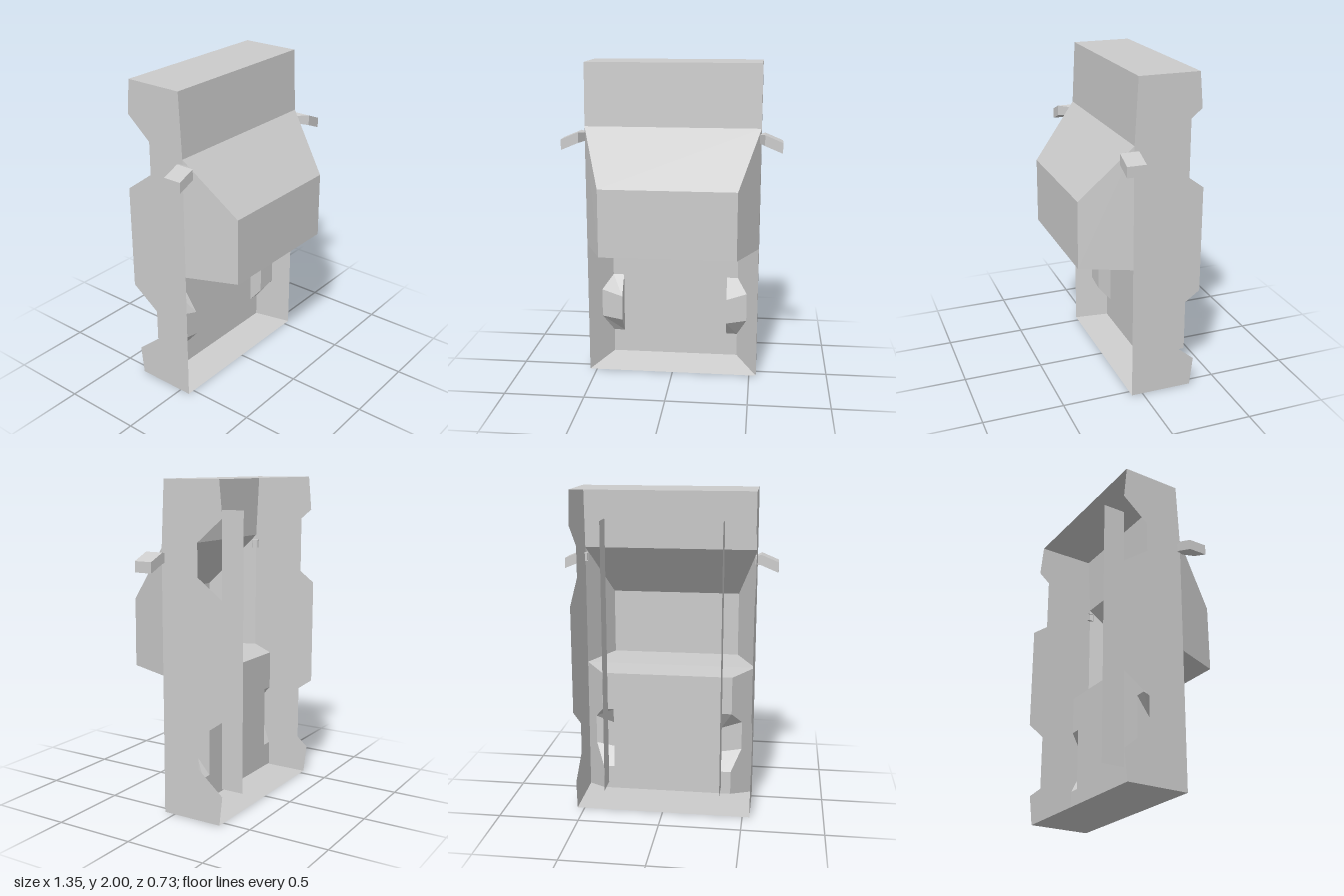
import * as THREE from 'three';

const material = new THREE.MeshStandardMaterial({ color: 0xcccccc, flatShading: true, side: THREE.DoubleSide });

// Triangulates flat outlines (lists of [x, y, z]) into one named mesh
function panels(name, outlines) {
  const pos = [];
  for (const outline of outlines) {
    const p = outline.map((c) => new THREE.Vector3(...c));
    const n = new THREE.Vector3();
    p.forEach((v, i) => n.add(v.clone().cross(p[(i + 1) % p.length])));
    const a = n.toArray().map(Math.abs);
    const drop = a.indexOf(Math.max(...a));
    const [u, w] = [[1, 2], [2, 0], [0, 1]][drop];
    const flat = p.map((v) => new THREE.Vector2(v.getComponent(u), v.getComponent(w)));
    for (const t of THREE.ShapeUtils.triangulateShape(flat, [])) {
      const [A, B, C] = t.map((i) => p[i]);
      const tn = B.clone().sub(A).cross(C.clone().sub(A));
      const tri = tn.dot(n) < 0 ? [A, C, B] : [A, B, C];
      tri.forEach((v) => pos.push(v.x, v.y, v.z));
    }
  }
  const geo = new THREE.BufferGeometry();
  geo.setAttribute('position', new THREE.Float32BufferAttribute(pos, 3));
  geo.computeVertexNormals();
  const mesh = new THREE.Mesh(geo, material);
  mesh.name = name;
  return mesh;
}

// Quads joining two matching loops
const bridge = (a, b, closed = true) =>
  a.slice(0, closed ? a.length : -1).map((p, i) => {
    const j = (i + 1) % a.length;
    return [p, a[j], b[j], b[i]];
  });

// Panel spanning the width between two [halfWidth, y, z] edges, far edge first
const across = ([w1, y1, z1], [w2, y2, z2]) =>
  [[-w1, y1, z1], [w1, y1, z1], [w2, y2, z2], [-w2, y2, z2]];

export function createModel() {
  const model = new THREE.Group();
  const W = 0.545, RIM = 0.07, FLOOR = -0.12, BED = 0.412;

  // Centre panels
  model.add(panels('nosePanel', [across([W, 2, -0.32], [W, 2, 0.05])]));
  model.add(panels('hood', [across([W, 2, 0.05], [W, 1.61, RIM])]));
  model.add(panels('windshield', [across([W, 1.61, RIM], [0.418, 1.275, 0.365])]));
  model.add(panels('roof', [across([0.418, 1.275, 0.365], [0.418, 0.857, 0.368])]));
  model.add(panels('cabRear', [
    across([0.418, 0.857, 0.368], [W, 0.855, RIM]),
    across([W, 0.855, RIM], [BED, 0.84, FLOOR]),
  ]));
  model.add(panels('tailgate', [
    across([BED, 0.06, FLOOR], [W, 0, RIM]),
    across([W, 0, RIM], [W, 0, -0.32]),
  ]));

  // Bed floor, notched where the wheel wells rise
  const half = [[BED, 0.06], [BED, 0.21], [0.342, 0.21], [0.342, 0.6], [BED, 0.6], [BED, 0.84]];
  model.add(panels('bedFloor', [[
    ...half.map(([x, y]) => [x, y, FLOOR]),
    ...half.slice().reverse().map(([x, y]) => [-x, y, FLOOR]),
  ]]));

  // Lower side outline with two wheel arches, as [y, z]
  const sideOutline = [
    [0, RIM], [0, -0.32], [0.18, -0.34], [0.32, -0.175], [0.515, -0.175], [0.65, -0.365],
    [1.315, -0.365], [1.455, -0.175], [1.65, -0.175], [1.79, -0.34], [2, -0.32], [2, 0.05], [1.61, RIM],
  ];

  for (const [side, s] of [['left', 1], ['right', -1]]) {
    const add = (name, outlines) =>
      model.add(panels(side + name, outlines.map((o) => o.map(([x, y, z]) => [s * x, y, z]))));

    add('BodySide', [sideOutline.map(([y, z]) => [W, y, z])]);
    add('CabSide', [[[W, 1.61, RIM], [0.418, 1.275, 0.365], [0.418, 0.857, 0.368], [W, 0.855, RIM]]]);

    // Sloping bed wall, cut around the wheel well
    const wallZ = (x) => FLOOR + ((x - BED) / (W - BED)) * (RIM - FLOOR);
    add('BedWall', [
      [[W, 0], [W, 0.855], [BED, 0.84], [BED, 0.6], [0.474, 0.52], [0.474, 0.337], [BED, 0.21], [BED, 0.06]]
        .map(([x, y]) => [x, y, wallZ(x)]),
    ]);

    // Wheel well: inner wall, flat top and two sloping ends
    const top = wallZ(0.474);
    const inner = [[0.342, 0.6, FLOOR], [0.342, 0.475, top], [0.342, 0.313, top], [0.342, 0.21, FLOOR]];
    const outer = [[BED, 0.6, FLOOR], [0.474, 0.52, top], [0.474, 0.337, top], [BED, 0.21, FLOOR]];
    add('WheelWell', [inner, ...bridge(inner, outer, false)]);

    // Thin chassis rail
    add('ChassisRail', [[[0.358, 0.145, -0.365], [0.358, 1.825, -0.365], [0.358, 1.825, -0.222], [0.358, 0.145, -0.222]]]);

    // Wing mirror with a tapering arm
    const section = (x, y0, y1, z0, z1) => [[x, y0, z0], [x, y1, z0], [x, y1, z1], [x, y0, z1]];
    const root = section(0.53, 1.525, 1.575, 0.05, 0.085);
    const near = section(0.567, 1.52, 1.585, 0.05, 0.165);
    const far = section(0.675, 1.475, 1.54, 0.05, 0.165);
    add('MirrorArm', bridge(root, near));
    add('Mirror', [near, far, ...bridge(near, far)]);
  }
  return model;
}
